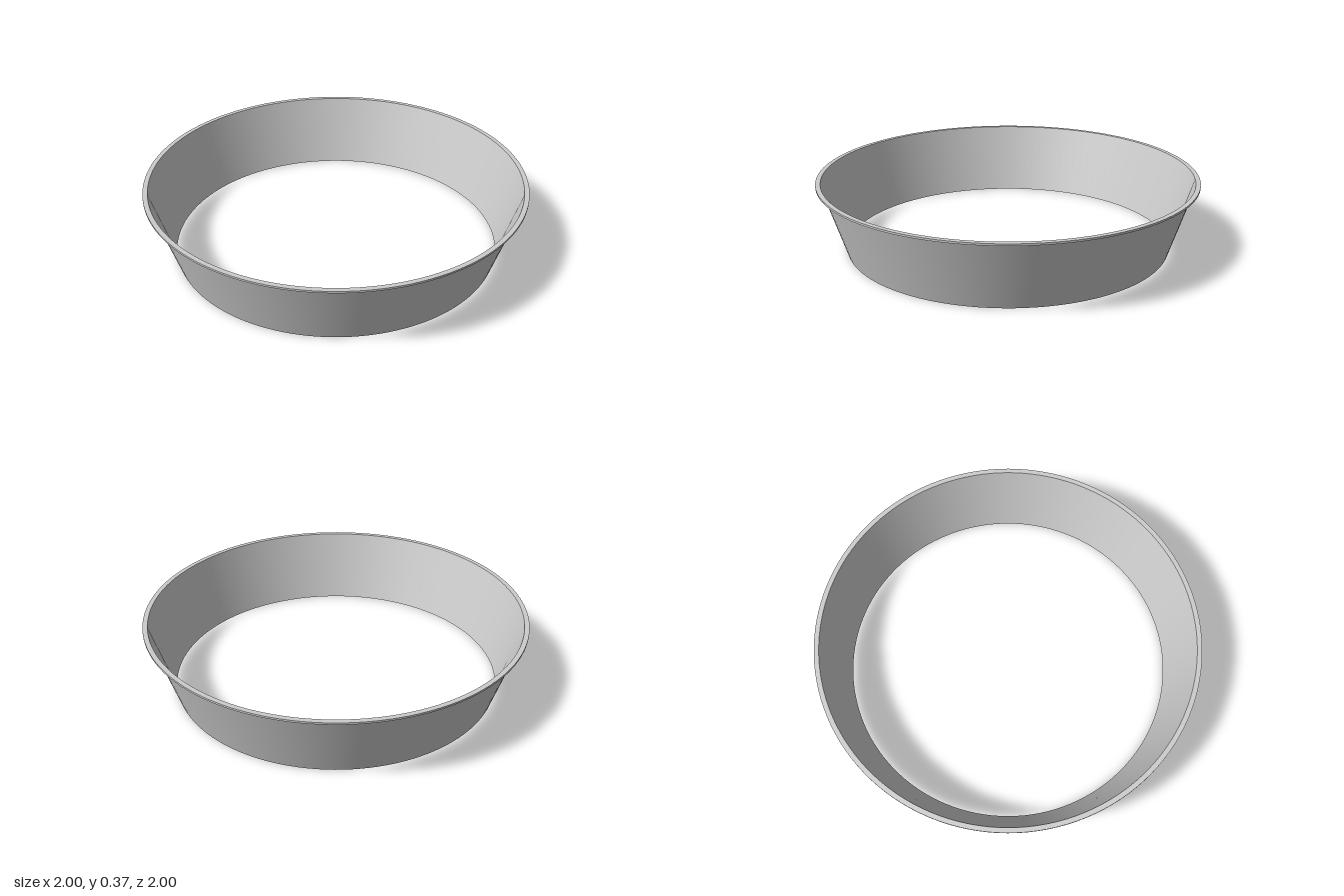
import * as THREE from 'three';
import { toCreasedNormals } from 'three/addons/utils/BufferGeometryUtils.js';

const SEGMENTS = 128;
const HEIGHT = 0.372;
const BOTTOM_RADIUS = 0.857;
const TOP_RADIUS = 0.975;
const RIM_RADIUS = 1;
const RIM_THICKNESS = 0.01;

export function createModel() {
  const group = new THREE.Group();
  group.name = 'taperedRing';
  const material = new THREE.MeshStandardMaterial({ color: 0xcccccc, side: THREE.DoubleSide });

  // Thin flared wall, open at the top and bottom
  const wall = new THREE.Mesh(
    new THREE.CylinderGeometry(TOP_RADIUS, BOTTOM_RADIUS, HEIGHT, SEGMENTS, 1, true),
    material
  );
  wall.name = 'wall';
  wall.position.y = HEIGHT / 2;
  group.add(wall);

  // Narrow flat lip around the top; the wall closes its inner edge
  const lipBottom = HEIGHT - RIM_THICKNESS;
  const wallRadiusAtLip = TOP_RADIUS - (TOP_RADIUS - BOTTOM_RADIUS) * RIM_THICKNESS / HEIGHT;
  const profile = [
    [wallRadiusAtLip, lipBottom],
    [RIM_RADIUS, lipBottom],
    [RIM_RADIUS, HEIGHT],
    [TOP_RADIUS, HEIGHT],
  ].map(([r, y]) => new THREE.Vector2(r, y));
  const rim = new THREE.Mesh(
    toCreasedNormals(new THREE.LatheGeometry(profile, SEGMENTS), Math.PI / 6),
    material
  );
  rim.name = 'rim';
  group.add(rim);

  return group;
}
